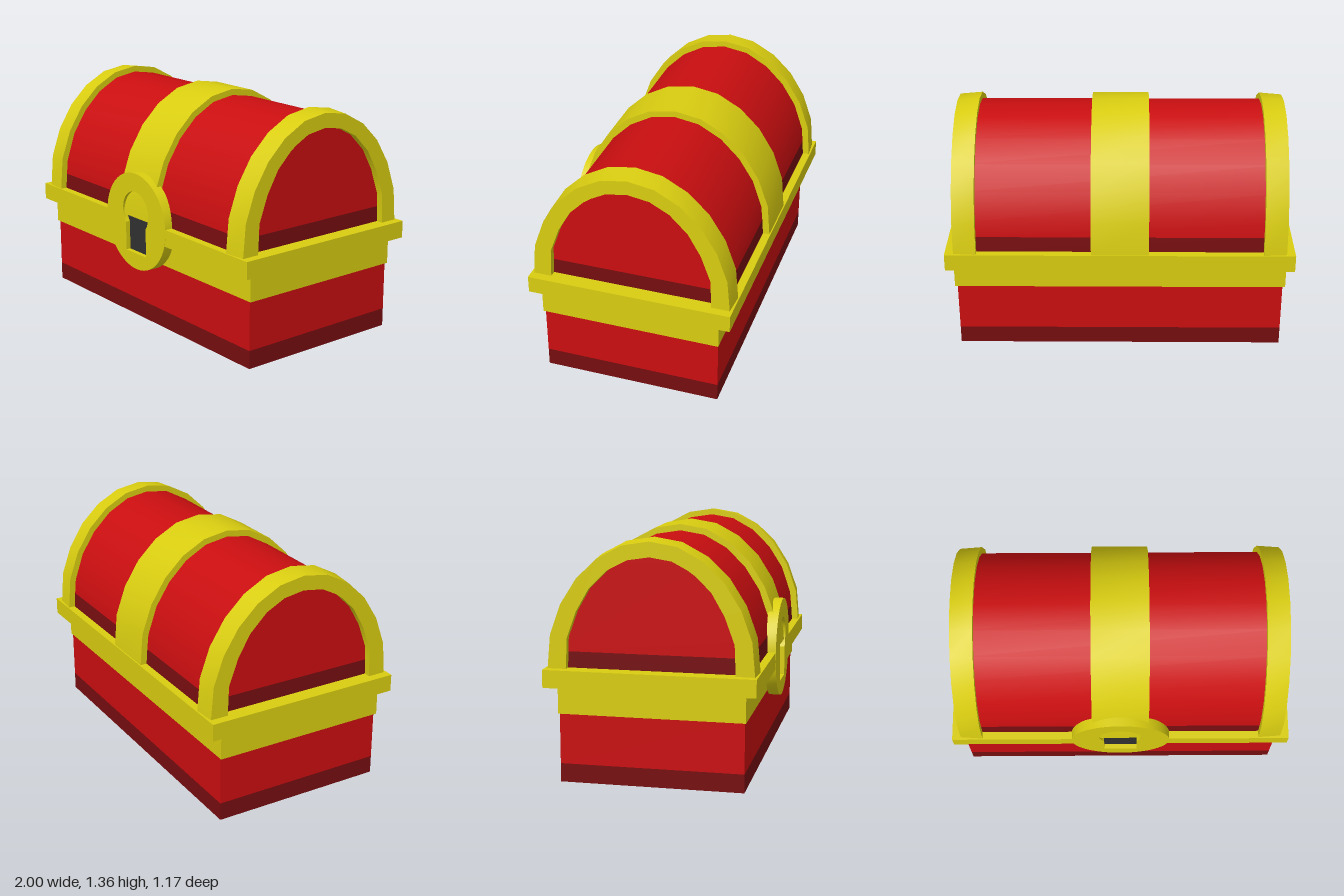
import * as THREE from 'three';
import { toCreasedNormals } from 'three/addons/utils/BufferGeometryUtils.js';

const paint = (name, color) => {
  const m = new THREE.MeshStandardMaterial({ color });
  m.name = name;
  return m;
};

// Half profiles of the lid as [z, y], from the rim up to the ridge
const OUTER = [[0.58, 0.64], [0.563, 0.83], [0.502, 1.0], [0.41, 1.145], [0.293, 1.257], [0.153, 1.332], [0, 1.357]];
const PANEL = [[0.541, 0.64], [0.534, 0.73], [0.525, 0.82], [0.469, 0.983], [0.383, 1.117], [0.273, 1.225], [0.142, 1.297], [0, 1.32]];
const INNER = [[0.467, 0.64], [0.46, 0.81], [0.405, 0.96], [0.333, 1.085], [0.232, 1.185], [0.122, 1.243], [0, 1.262]];

// Mirror a half profile into a full arch, front to back
const arch = (half) => [...half, ...half.slice(0, -1).reverse().map(([z, y]) => [-z, y])];
const toShape = (pts) => new THREE.Shape(pts.map(([a, b]) => new THREE.Vector2(a, b)));

// Extrude a side profile along x between x0 and x1
function alongX(pts, x0, x1) {
  const g = new THREE.ExtrudeGeometry(toShape(pts), { depth: x1 - x0, bevelEnabled: false });
  g.rotateY(Math.PI / 2);
  g.translate(x0, 0, 0);
  return g;
}

// Round head over a straight slot
function keyholeOutline(Kind) {
  const r = 0.125, cy = 0.675, half = 0.098;
  const a = Math.acos(half / r);
  const k = new Kind();
  k.moveTo(-half, 0.427);
  k.lineTo(half, 0.427);
  k.absarc(0, cy, r, -a, Math.PI + a, false);
  k.closePath();
  return k;
}

export function createModel() {
  const red = paint('red panel', 0xca0e10);
  const darkRed = paint('dark red trim', 0x760d10);
  const gold = paint('gold', 0xd9cd10);
  const black = paint('keyhole black', 0x303030);

  const chest = new THREE.Group();
  chest.name = 'treasureChest';
  const add = (name, geometry, material, parent = chest) => {
    const mesh = new THREE.Mesh(geometry, material);
    mesh.name = name;
    parent.add(mesh);
    return mesh;
  };
  const box = (name, w, y0, y1, z0, z1, material) => {
    const g = new THREE.BoxGeometry(w, y1 - y0, z1 - z0);
    g.translate(0, (y0 + y1) / 2, (z0 + z1) / 2);
    return add(name, g, material);
  };

  // Lower body
  box('baseSkirt', 1.89, 0, 0.105, -0.508, 0.518, darkRed);
  box('baseBody', 1.89, 0.105, 0.4, -0.508, 0.518, red);
  box('baseBand', 1.92, 0.39, 0.54, -0.513, 0.526, gold);

  // Rim, notched at the front behind the keyhole
  const rim = new THREE.ExtrudeGeometry(toShape([
    [-1, -0.587], [1, -0.587], [1, 0.587], [0.14, 0.587], [0.14, 0.55],
    [-0.14, 0.55], [-0.14, 0.587], [-1, 0.587],
  ]), { depth: 0.1, bevelEnabled: false });
  rim.rotateX(Math.PI / 2);
  rim.translate(0, 0.64, 0);
  add('rim', rim, gold);

  // Lid panels
  const lid = new THREE.Group();
  lid.name = 'lid';
  chest.add(lid);
  add('lidSkirt', alongX(arch(PANEL.slice(0, 2)).concat([[-0.534, 0.73]])
    .filter((p, i, all) => all.findIndex((q) => q[0] === p[0] && q[1] === p[1]) === i)
    .sort((a, b) => Math.atan2(a[1] - 0.685, a[0]) - Math.atan2(b[1] - 0.685, b[0])), -0.91, 0.91), darkRed, lid);
  add('lidPanel', toCreasedNormals(alongX(arch(PANEL.slice(1)), -0.91, 0.91), 0.6), red, lid);

  // Gold straps: one across the middle, a slightly tapered arch at each end
  add('middleStrap', toCreasedNormals(alongX(arch(OUTER), -0.165, 0.165), 0.6), gold, lid);
  for (const side of [-1, 1]) {
    const x0 = side > 0 ? 0.82 : -0.95;
    const g = alongX([...arch(OUTER), ...arch(INNER).reverse()], x0, x0 + 0.13);
    const p = g.attributes.position;
    for (let i = 0; i < p.count; i++) {
      const y = p.getY(i), z = p.getZ(i);
      const isOuter = OUTER.some(([oz, oy]) => Math.abs(oz - Math.abs(z)) < 1e-4 && Math.abs(oy - y) < 1e-4);
      if (isOuter && Math.abs(p.getX(i)) > 0.9) {
        p.setY(i, 0.64 + (y - 0.64) * 0.984);
        p.setZ(i, z * 0.984);
      }
    }
    add(side > 0 ? 'leftEndStrap' : 'rightEndStrap', toCreasedNormals(g, 0.6), gold, lid);
  }

  // Lock plate with a recessed keyhole
  const plate = new THREE.Shape();
  plate.absarc(0, 0.62, 0.29, 0, Math.PI * 2, false);
  plate.holes.push(keyholeOutline(THREE.Path));
  const lock = new THREE.ExtrudeGeometry(plate, { depth: 0.063, bevelEnabled: false, curveSegments: 24 });
  lock.translate(0, 0, 0.525);
  add('lockPlate', toCreasedNormals(lock, 0.6), gold);
  const hole = new THREE.ShapeGeometry(keyholeOutline(THREE.Shape), 24);
  hole.translate(0, 0, 0.56);
  add('keyhole', hole, black);

  return chest;
}
